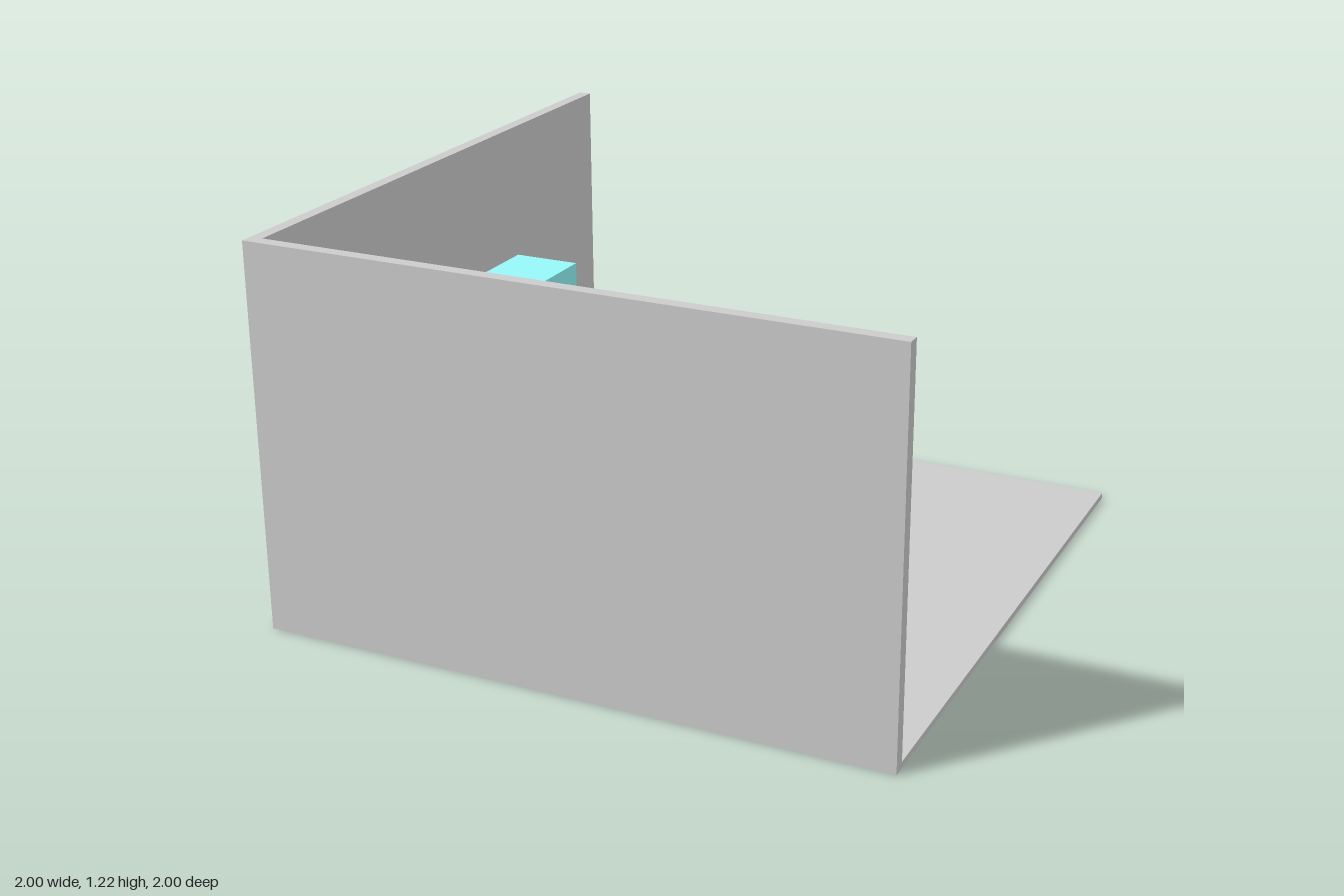
import * as THREE from 'three';

const mat = (color) => new THREE.MeshStandardMaterial({ color, flatShading: true });
const grey = mat(0xcccccc), teal = mat(0x96f8f8), tan = mat(0xf0d2a4), yellow = mat(0xf8d060), dark = mat(0x606060);

// Box given by its limits on each axis
function block(parent, name, material, [x0, x1], [y0, y1], [z0, z1]) {
  const mesh = new THREE.Mesh(new THREE.BoxGeometry(x1 - x0, y1 - y0, z1 - z0), material);
  mesh.position.set((x0 + x1) / 2, (y0 + y1) / 2, (z0 + z1) / 2);
  mesh.name = name;
  parent.add(mesh);
  return mesh;
}

function group(parent, name) {
  const g = new THREE.Group();
  g.name = name;
  parent.add(g);
  return g;
}

// Wall cabinet: open frame of four panels against the front wall
const FACE = 0.83, WALL = 0.96;
function cabinet(parent, name, [x0, x1], [y0, y1]) {
  const g = group(parent, name), t = 0.01, z = [FACE, WALL];
  block(g, 'cabinetBottom', tan, [x0, x1], [y0, y0 + t], z);
  block(g, 'cabinetTop', tan, [x0, x1], [y1 - t, y1], z);
  block(g, 'cabinetSide', tan, [x0, x0 + t], [y0 + t, y1 - t], z);
  block(g, 'cabinetSide', tan, [x1 - t, x1], [y0 + t, y1 - t], z);
  return g;
}

function closedDoor(g, x, y) {
  block(g, 'closedDoor', teal, x, y, [FACE - 0.005, FACE]);
}

// Thin door swung from its hinge to a free edge in plan
function openDoor(g, [hx, hz], [fx, fz], [y0, y1]) {
  const len = Math.hypot(fx - hx, fz - hz);
  const door = new THREE.Mesh(new THREE.BoxGeometry(len, y1 - y0, 0.004), teal);
  door.position.set((hx + fx) / 2, (y0 + y1) / 2, (hz + fz) / 2);
  door.rotation.y = -Math.atan2(fz - hz, fx - hx);
  door.name = 'openDoor';
  g.add(door);
}

// Slim-legged table: rails top and bottom, inset apron and top panel
function table(parent, name, [x0, x1], [z0, z1], apron) {
  const g = group(parent, name), t = 0.013, top = 0.43, low = 0.36;
  for (const [y0, y1] of [[low, low + 0.01], [top - 0.01, top]]) {
    for (const x of [x0, x1 - t]) block(g, 'sideRail', dark, [x, x + t], [y0, y1], [z0, z1]);
    for (const z of [z0, z1 - t]) block(g, 'longRail', dark, [x0 + t, x1 - t], [y0, y1], [z, z + t]);
  }
  block(g, 'apron', apron, [x0 + 0.003, x1 - 0.003], [low + 0.01, top - 0.01], [z0 + 0.003, z1 - 0.003]);
  block(g, 'topPanel', teal, [x0 + t, x1 - t], [top - 0.01, top - 0.001], [z0 + t, z1 - t]);
  // Tapered square legs
  const legGeometry = new THREE.CylinderGeometry(0.009, 0.006, top - 0.03, 4).rotateY(Math.PI / 4);
  for (const x of [x0 + t / 2, x1 - t / 2]) for (const z of [z0 + t / 2, z1 - t / 2]) {
    const leg = new THREE.Mesh(legGeometry, dark);
    leg.position.set(x, (top + 0.03) / 2 - 0.005, z);
    leg.name = 'leg';
    g.add(leg);
  }
  return g;
}

export function createModel() {
  const room = new THREE.Group();
  room.name = 'room';

  // Floor and two walls
  block(room, 'floor', grey, [-1, 1], [0, 0.02], [-1, 1]);
  block(room, 'frontWall', grey, [-1, 1], [0, 1.22], [WALL, 1]);
  block(room, 'rightWall', grey, [-1, -WALL], [0, 1.22], [-1, WALL]);

  // Wall cabinets
  const closed = [
    ['leftCabinet', [0.15, 0.42], [0.54, 0.875]],
    ['upperRightCabinet', [-0.485, -0.285], [0.74, 1]],
  ];
  for (const [name, x, y] of closed) closedDoor(cabinet(room, name, x, y), x, y);
  const middle = cabinet(room, 'middleCabinet', [-0.24, 0.1], [0.53, 1]);
  openDoor(middle, [0.1, FACE], [0.18, 0.51], [0.535, 1]);
  const lower = cabinet(room, 'lowerRightCabinet', [-0.485, -0.285], [0.43, 0.69]);
  openDoor(lower, [-0.285, FACE], [-0.41, 0.68], [0.43, 0.69]);

  // Central table with a drawer pull
  const centre = table(room, 'centreTable', [-0.27, 0.335], [0.03, 0.265], teal);
  block(centre, 'drawerPull', dark, [0.01, 0.055], [0.41, 0.432], [0.255, 0.268]);

  // Two side tables, each carrying a cabinet box
  for (const z of [0.0125, -0.4275]) {
    const side = table(room, 'sideTable', [-0.95, -0.71], [z - 0.007, z + 0.283], yellow);
    block(side, 'storageBox', teal, [-0.943, -0.717], [0.43, 0.78], [z, z + 0.276]);
    block(side, 'drawerPull', dark, [-0.712, -0.707], [0.415, 0.43], [z + 0.118, z + 0.158]);
  }
  return room;
}
